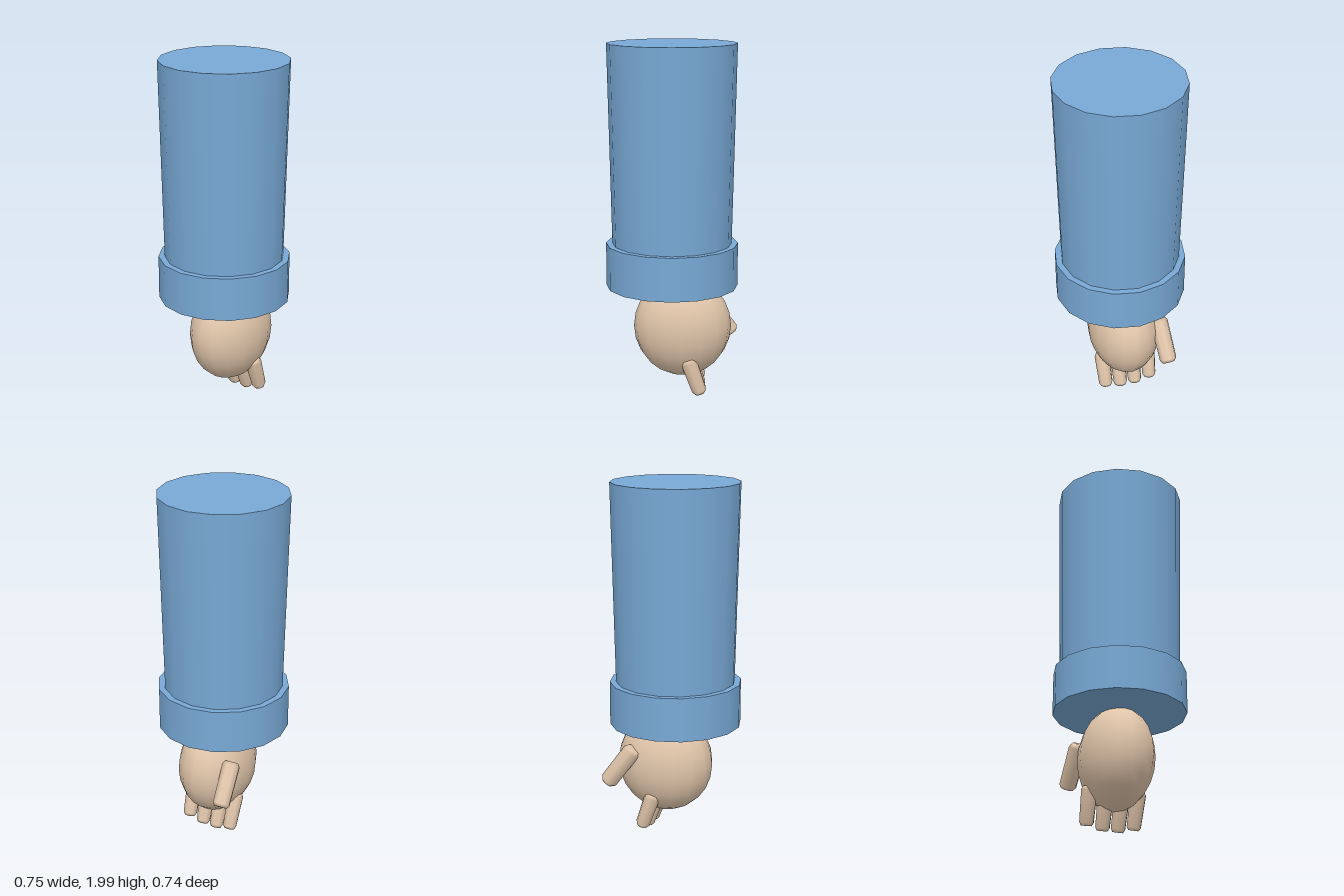
import * as THREE from 'three';

export function createModel() {
  const model = new THREE.Group();
  model.name = 'sleevedHand';
  const blue = new THREE.MeshStandardMaterial({ name: 'sleeveBlue', color: 0x78a9d6 });
  const skin = new THREE.MeshStandardMaterial({ name: 'skin', color: 0xe0c5aa });

  const add = (name, geometry, material, x, y, z) => {
    const mesh = new THREE.Mesh(geometry, material);
    mesh.name = name;
    mesh.position.set(x, y, z);
    model.add(mesh);
    return mesh;
  };

  // Tapered sleeve and its wider cuff
  add('sleeve', new THREE.CylinderGeometry(0.359, 0.334, 1.2, 16), blue, -0.01, 1.4, 0);
  add('cuff', new THREE.CylinderGeometry(0.371, 0.371, 0.245, 16), blue, -0.01, 0.7625, 0);

  // Flattened palm
  const palm = add('palm', new THREE.SphereGeometry(1, 16, 12), skin, 0.05, 0.4, 0);
  palm.scale.set(0.277, 0.29, 0.205);

  // Digit: slightly tapered rod with bevelled ends, running from a to b
  const digit = (name, a, b, r0, r1) => {
    const length = a.distanceTo(b);
    const bevel = 0.018;
    const profile = [
      [0, 0], [r0 * 0.75, 0], [r0, bevel],
      [r1, length - bevel], [r1 * 0.75, length], [0, length],
    ].map(([r, y]) => new THREE.Vector2(r, y));
    const mesh = add(name, new THREE.LatheGeometry(profile, 8), skin, a.x, a.y, a.z);
    mesh.quaternion.setFromUnitVectors(new THREE.Vector3(0, 1, 0), b.clone().sub(a).normalize());
    // Start at the tip so the profile winds outward from its lower end
    return mesh;
  };

  // Four fingers in a row, the inner pair reaching lower
  [0.14, 0.046, -0.046, -0.14].forEach((z, i) => {
    const drop = i === 1 || i === 2 ? 0.02 : 0;
    digit('finger' + (i + 1),
      new THREE.Vector3(0.15, 0.04 - drop, z * 0.96),
      new THREE.Vector3(0.08, 0.24 - drop, z), 0.041, 0.046);
  });

  // Thumb angled out from the back of the palm
  digit('thumb',
    new THREE.Vector3(0.338, 0.302, -0.188),
    new THREE.Vector3(0.185, 0.51, -0.172), 0.05, 0.052);

  return model;
}
